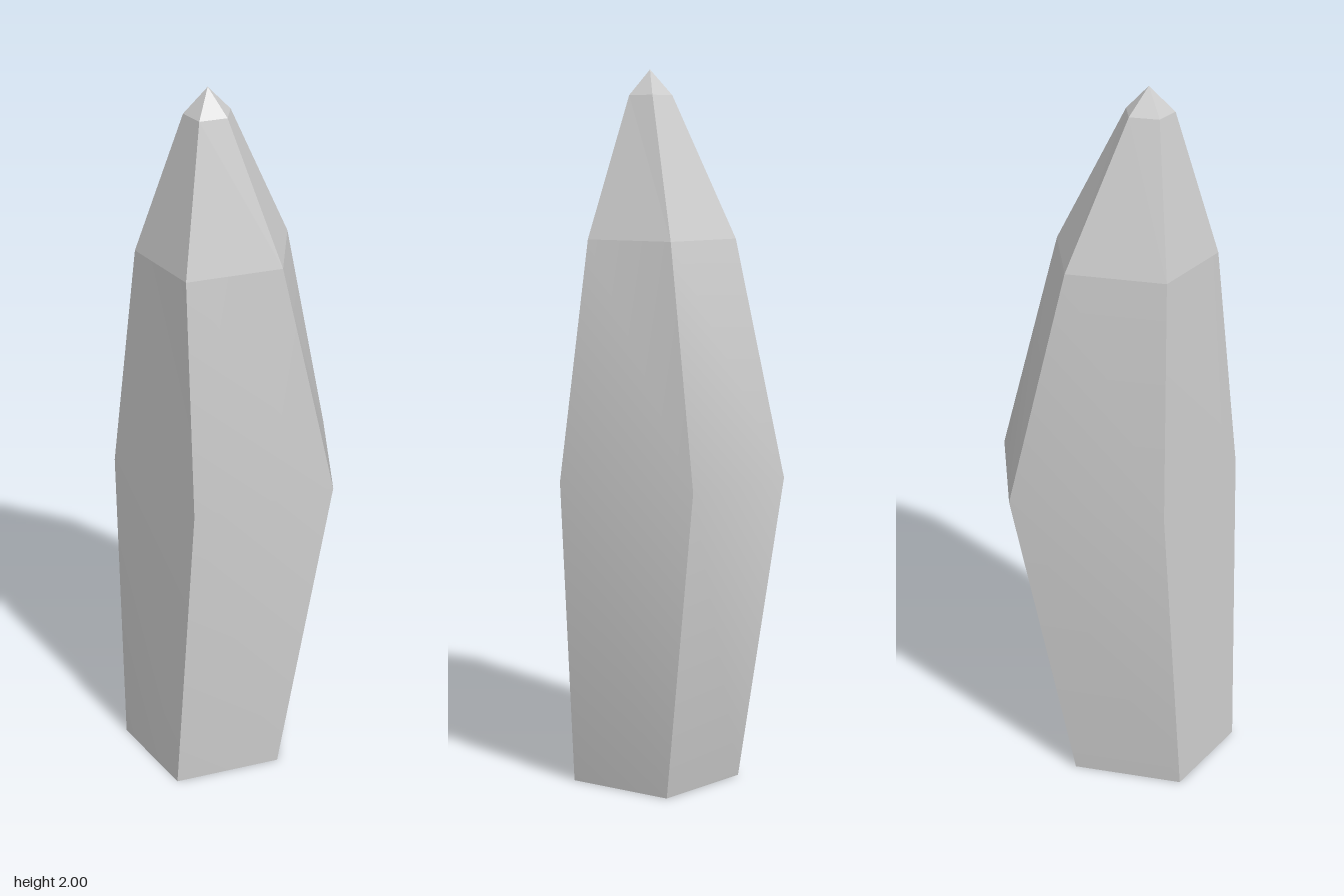
import * as THREE from 'three';
import { toCreasedNormals } from 'three/addons/utils/BufferGeometryUtils.js';

// Five-sided cross-sections from base to tip: height and [x, z] corners
const rings = [
  { y: 0, p: [[0.2, 0.09], [0.03, 0.345], [-0.245, 0.245], [-0.245, -0.065], [0.03, -0.165]] },
  { y: 0.89, p: [[0.29, -0.035], [0.085, 0.32], [-0.295, 0.2], [-0.295, -0.23], [0.04, -0.345]] },
  { y: 1.54, p: [[0.17, 0.045], [0.025, 0.267], [-0.215, 0.182], [-0.215, -0.088], [0.025, -0.175]] },
  { y: 1.93, p: [[0.025, 0.09], [-0.015, 0.155], [-0.087, 0.13], [-0.087, 0.05], [-0.015, 0.025]] },
];
const apex = [-0.038, 2, 0.09];
const SIDES = 5;

const corner = (r, i) => {
  const [x, z] = rings[r].p[i % SIDES];
  return [x, rings[r].y, z];
};

// Walls between two neighbouring cross-sections
function band(r) {
  const out = [];
  for (let i = 0; i < SIDES; i++) {
    const a = corner(r, i), b = corner(r, i + 1);
    const c = corner(r + 1, i + 1), d = corner(r + 1, i);
    out.push(a, d, c, a, c, b);
  }
  return out;
}

function toGeometry(points) {
  const geo = new THREE.BufferGeometry();
  geo.setAttribute('position', new THREE.Float32BufferAttribute(points.flat(), 3));
  geo.computeVertexNormals();
  return geo;
}

export function createModel() {
  const group = new THREE.Group();
  group.name = 'crystal';
  const add = (name, geo, flatShading) => {
    const mesh = new THREE.Mesh(geo, new THREE.MeshStandardMaterial({ color: 0xcccccc, flatShading }));
    mesh.name = name;
    group.add(mesh);
  };

  // Shaft: soft bend at the waist, sharp vertical edges
  add('shaft', toCreasedNormals(toGeometry([...band(0), ...band(1)]), 0.7), false);

  // Tapered tip closed by a small pyramid
  const tip = band(2);
  for (let i = 0; i < SIDES; i++) tip.push(corner(3, i), apex, corner(3, i + 1));
  add('tip', toGeometry(tip), true);

  // Flat underside
  const base = [];
  for (let i = 1; i < SIDES - 1; i++) base.push(corner(0, 0), corner(0, i), corner(0, i + 1));
  add('base', toGeometry(base), true);

  return group;
}
